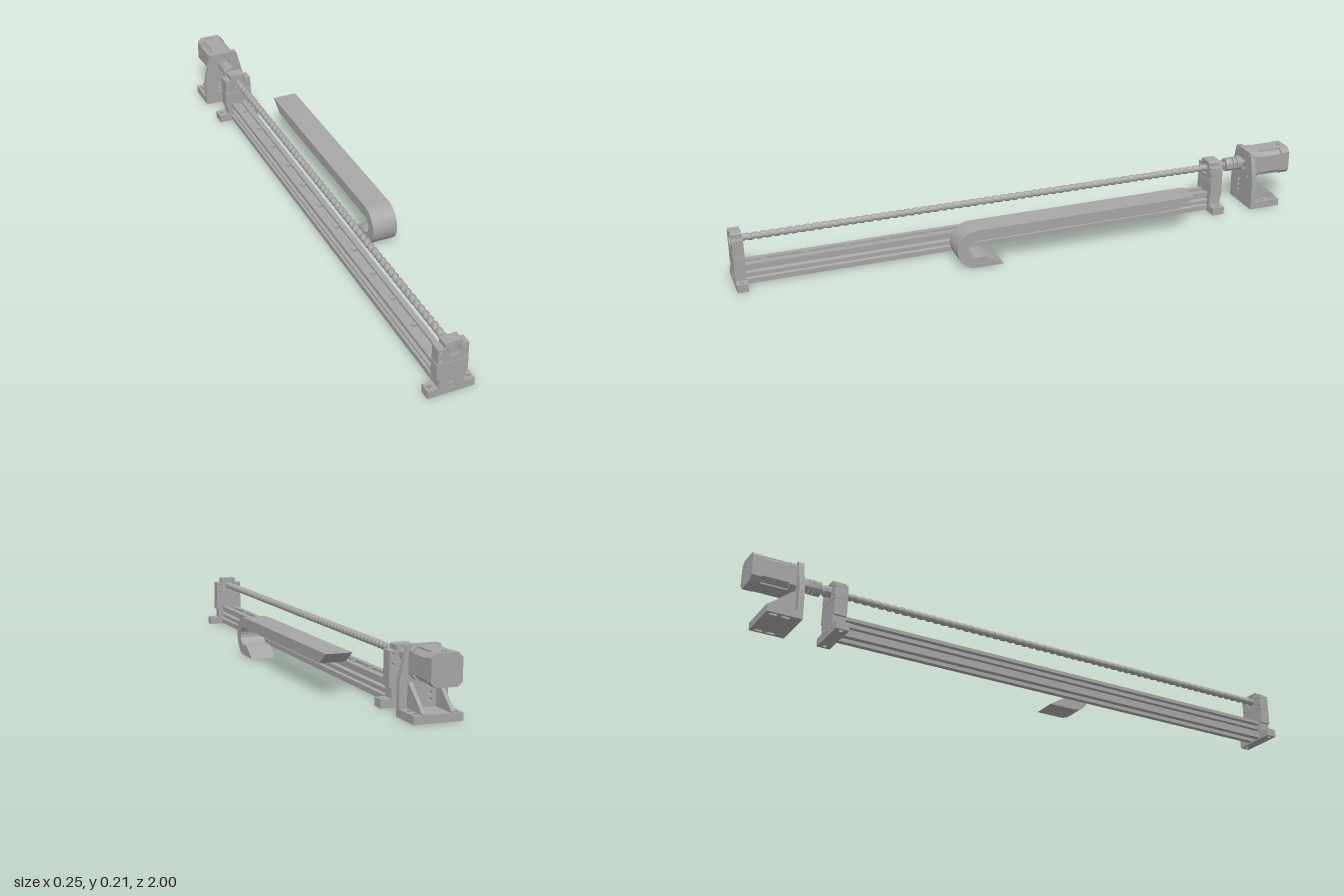
import * as THREE from 'three';
import { toCreasedNormals } from 'three/addons/utils/BufferGeometryUtils.js';

const CX = -0.051, SY = 0.157; // drive axis
const metal = new THREE.MeshStandardMaterial({ color: 0xa6a6a6 });
metal.name = 'machined metal';

function add(parent, name, geo, x = 0, y = 0, z = 0) {
  const m = new THREE.Mesh(geo, metal);
  m.name = name;
  m.position.set(x, y, z);
  parent.add(m);
  return m;
}

function poly(pts) {
  return new THREE.Shape(pts.map(p => new THREE.Vector2(p[0], p[1])));
}

// mirror a right-hand outline (bottom to top) across x = 0
function symmetric(pts) {
  return poly([...pts, ...pts.slice().reverse().map(([x, y]) => [-x, y])]);
}

function hole(shape, x, y, r) {
  shape.holes.push(new THREE.Path().absarc(x, y, r, 0, Math.PI * 2, true));
}

function slot(shape, x, y, r, half) {
  const p = new THREE.Path();
  p.absarc(x, y + half, r, 0, Math.PI, false);
  p.absarc(x, y - half, r, Math.PI, Math.PI * 2, false);
  shape.holes.push(p);
}

function extrude(shape, depth) {
  const g = new THREE.ExtrudeGeometry(shape, { depth, bevelEnabled: false, curveSegments: 20 });
  return toCreasedNormals(g, 0.6);
}

// turned part along z, profile given as [radius, z]
function turned(profile, seg = 32) {
  const g = new THREE.LatheGeometry(profile.map(p => new THREE.Vector2(p[0], p[1])), seg);
  return toCreasedNormals(g.rotateX(Math.PI / 2), 0.6);
}

function rod(r, len, seg = 24) {
  return new THREE.CylinderGeometry(r, r, len, seg).rotateX(Math.PI / 2);
}

// bearing pedestal from z = 0 to z = depth
function bearingSupport(depth) {
  const g = new THREE.Group();
  const body = symmetric([[0.042, 0.026], [0.042, 0.06], [0.05, 0.06], [0.05, 0.114]]);
  hole(body, 0, 0.04, 0.005);
  add(g, 'pedestalBody', extrude(body, depth));

  const foot = poly([[-0.076, -depth], [0.076, -depth], [0.076, 0], [-0.076, 0]]);
  for (const s of [-1, 1]) hole(foot, s * 0.062, -depth / 2, 0.007);
  add(g, 'pedestalFoot', extrude(foot, 0.027).rotateX(-Math.PI / 2));

  const block = symmetric([[0.049, 0.116], [0.049, 0.168], [0.028, 0.168], [0.028, 0.183], [0.025, 0.186]]);
  hole(block, 0, SY, 0.023);
  for (const s of [-1, 1]) for (const y of [0.127, 0.157]) hole(block, s * 0.039, y, 0.005);
  add(g, 'bearingBlock', extrude(block, depth));
  add(g, 'blockSeat', new THREE.BoxGeometry(0.096, 0.004, depth - 0.004), 0, 0.115, depth / 2);

  // bearing recessed in the block
  const h = depth / 2 - 0.004;
  add(g, 'bearing', turned([[0.011, -h], [0.0225, -h], [0.0225, h], [0.019, h], [0.019, h - 0.003],
    [0.016, h - 0.003], [0.016, h], [0.011, h], [0.011, -h]]), 0, SY, depth / 2);
  // bolts holding the pedestal to the rail
  const bolt = [[0, -0.001], [0.013, -0.001], [0.013, 0.002], [0.007, 0.002], [0.007, 0], [0, 0]];
  add(g, 'railBolt', turned(bolt, 24), 0, 0.027, depth);
  add(g, 'railBoltBack', turned(bolt, 24).rotateY(Math.PI), 0, 0.027, 0);
  return g;
}

// ball screw with a rounded helical groove
function screwGeometry(z0, z1, pitch) {
  const turns = (z1 - z0) / pitch, rings = Math.ceil(turns * 10), seg = 20;
  const pos = [], idx = [];
  for (let i = 0; i <= rings; i++) {
    const z = z0 + (z1 - z0) * i / rings;
    for (let j = 0; j <= seg; j++) {
      const a = j / seg * Math.PI * 2;
      const w = Math.cos(a - z / pitch * Math.PI * 2);
      const r = 0.0125 - 0.0035 * Math.max(0, w + 0.2) / 1.2;
      pos.push(r * Math.cos(a), r * Math.sin(a), z);
      if (i < rings && j < seg) {
        const p = i * (seg + 1) + j, q = p + seg + 1;
        idx.push(p, p + 1, q, p + 1, q + 1, q);
      }
    }
  }
  const g = new THREE.BufferGeometry();
  g.setAttribute('position', new THREE.Float32BufferAttribute(pos, 3));
  g.setIndex(idx);
  g.computeVertexNormals();
  return g;
}

function motorAssembly() {
  const g = new THREE.Group();
  // upright plate with tapered shoulders
  const plate = symmetric([[0.076, 0], [0.076, 0.105], [0.053, 0.199], [0.051, 0.204], [0.046, 0.207]]);
  hole(plate, 0, SY, 0.026);
  for (const s of [-1, 1]) {
    hole(plate, s * 0.04, 0.196, 0.004);
    hole(plate, s * 0.04, 0.117, 0.004);
  }
  for (const y of [0.045, 0.065, 0.085]) hole(plate, -0.02, y, 0.006);
  add(g, 'motorPlate', extrude(plate, 0.018), 0, 0, -0.857);

  // slotted base
  const base = poly([[-0.076, 0.856], [0.076, 0.856], [0.076, 0.953], [-0.076, 0.953]]);
  for (const s of [-1, 1]) for (const z of [0.888, 0.928]) slot(base, s * 0.062, z, 0.006, 0.008);
  add(g, 'motorBase', extrude(base, 0.025).rotateX(-Math.PI / 2));

  // triangular ribs
  for (const s of [-1, 1]) {
    const rib = poly([[0.856, 0.024], [0.951, 0.024], [0.951, 0.03], [0.866, 0.1], [0.856, 0.1]]);
    add(g, 'bracketRib', extrude(rib, 0.012).rotateY(Math.PI / 2), s * 0.045 - 0.006);
  }

  // motor: end caps and grooved body with cut corners
  const h = 0.048, c = 0.034;
  const cap = symmetric([[c, SY - h], [h, SY - c], [h, SY + c], [c, SY + h]]);
  const k = 0.043;
  const body = symmetric([[0.03, SY - h], [0.03, SY - k], [k, SY - 0.03], [h, SY - 0.03],
    [h, SY + 0.03], [k, SY + 0.03], [0.03, SY + k], [0.03, SY + h]]);
  add(g, 'motorFrontCap', extrude(cap, 0.022), 0, 0, -0.879);
  add(g, 'motorBody', extrude(body, 0.09), 0, 0, -0.968);
  add(g, 'motorRearCap', extrude(cap, 0.033), 0, 0, -1);
  add(g, 'motorConnector', new THREE.CylinderGeometry(0.007, 0.007, 0.006, 16), 0, 0.207, -0.98);
  add(g, 'motorPilot', rod(0.022, 0.016), 0, SY, -0.85);
  add(g, 'motorShaft', rod(0.008, 0.06), 0, SY, -0.82);
  return g;
}

export function createModel() {
  const model = new THREE.Group();
  const drive = new THREE.Group();
  drive.name = 'linearDrive';
  drive.position.x = CX;
  model.add(drive);

  // grooved rail with a channel above and below
  const rail = symmetric([[0.012, 0.018], [0.012, 0.005], [0.03, 0.005], [0.03, 0.022], [0.021, 0.025],
    [0.021, 0.034], [0.03, 0.037], [0.03, 0.043], [0.019, 0.047], [0.019, 0.056], [0.028, 0.06],
    [0.028, 0.072], [0.011, 0.072], [0.011, 0.064]]);
  add(drive, 'rail', extrude(rail, 1.656), 0, 0, -0.69);
  for (let i = 0; i < 12; i++) {
    add(drive, 'railScrew', new THREE.CylinderGeometry(0.009, 0.009, 0.008, 16), 0, 0.068, -0.62 + i * 0.138);
  }

  const front = bearingSupport(0.036);
  front.name = 'frontSupport';
  front.position.z = 0.964;
  const rear = bearingSupport(0.044);
  rear.name = 'rearSupport';
  rear.position.z = -0.731;
  drive.add(front, rear);

  // screw, turned journals and lock nut
  add(drive, 'ballScrew', screwGeometry(-0.69, 0.965, 0.028), 0, SY);
  add(drive, 'frontJournal', rod(0.011, 0.042), 0, SY, 0.976);
  add(drive, 'rearJournal', rod(0.01, 0.11), 0, SY, -0.735);
  add(drive, 'lockNut', turned([[0, -0.755], [0.013, -0.755], [0.018, -0.75], [0.018, -0.728], [0, -0.728]]), 0, SY);

  // shaft coupling with flexure grooves
  add(drive, 'coupling', turned([[0, -0.828], [0.023, -0.828], [0.024, -0.826], [0.024, -0.806], [0.018, -0.806],
    [0.018, -0.803], [0.024, -0.803], [0.024, -0.791], [0.018, -0.791], [0.018, -0.788], [0.024, -0.788],
    [0.024, -0.765], [0.023, -0.763], [0, -0.763]]), 0, SY);

  const motor = motorAssembly();
  motor.name = 'motorUnit';
  drive.add(motor);

  // hooked strip beside the drive, both ends cut at a slant
  const hook = new THREE.Shape();
  hook.moveTo(0.555, 0.137);
  hook.lineTo(-0.232, 0.137);
  hook.absarc(-0.232, 0.07, 0.067, Math.PI / 2, Math.PI * 1.5, false);
  hook.lineTo(-0.14, 0.003);
  hook.lineTo(-0.2, 0.04);
  hook.absarc(-0.232, 0.07, 0.03, Math.PI * 1.5, Math.PI / 2, true);
  hook.lineTo(0.5, 0.1);
  add(model, 'hookedStrip', extrude(hook, 0.086).rotateY(Math.PI / 2), 0.04);
  for (const z of [-0.54, -0.525]) {
    add(model, 'stripPin', new THREE.CylinderGeometry(0.004, 0.004, 0.002, 12), 0.08, 0.137, z);
  }
  return model;
}
